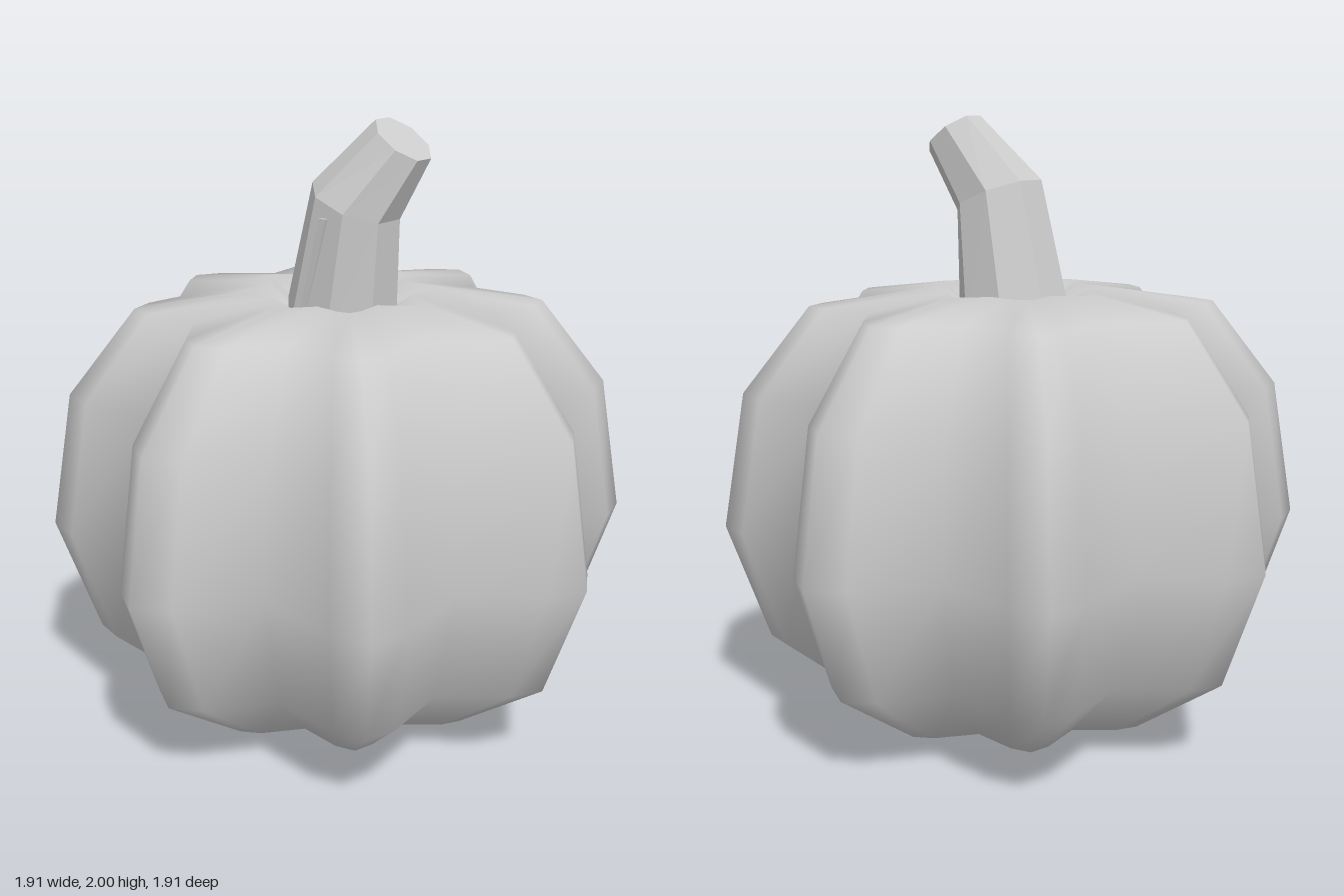
import * as THREE from 'three';

// Skin a stack of closed rings (bottom to top, counterclockwise from above) and cap both ends.
function loft(rings, bottom, top, flat) {
  const n = rings[0].length;
  const points = [...rings.flat(), bottom, top];
  const b = points.length - 2, t = points.length - 1, last = (rings.length - 1) * n;
  const index = [];
  for (let j = 0; j < n; j++) {
    const k = (j + 1) % n;
    for (let i = 0; i < last; i += n) {
      index.push(i + j, i + k, i + n + k, i + j, i + n + k, i + n + j);
    }
    index.push(k, j, b, last + j, last + k, t);
  }
  let geometry = new THREE.BufferGeometry();
  geometry.setAttribute('position', new THREE.Float32BufferAttribute(points.flat(), 3));
  geometry.setIndex(index);
  if (flat) geometry = geometry.toNonIndexed();
  geometry.computeVertexNormals();
  return geometry;
}

export function createModel() {
  const group = new THREE.Group();
  const grey = new THREE.MeshStandardMaterial({ color: 0xcccccc });
  grey.name = 'pale grey';

  const add = (name, geometry) => {
    const mesh = new THREE.Mesh(geometry, grey);
    mesh.name = name;
    group.add(mesh);
  };

  // Ribbed body: eight lobes, each with a crest, two shoulders and a valley
  const lobe = [[0, 1], [7.1, 0.94], [22.5, 0.77], [37.9, 0.94]];
  const profile = [
    [0.18, 0], [0.51, 0.07], [0.82, 0.295], [0.955, 0.68],
    [0.88, 1.125], [0.66, 1.405], [0.31, 1.455], [0.15, 1.37],
  ];
  const bodyRings = profile.map(([r, y]) => {
    const ring = [];
    for (let i = 0; i < 8; i++) {
      for (const [degrees, factor] of lobe) {
        const a = THREE.MathUtils.degToRad(i * 45 + degrees);
        ring.push([r * factor * Math.cos(a), y, -r * factor * Math.sin(a)]);
      }
    }
    return ring;
  });
  add('body', loft(bodyRings, [0, 0.03, 0], [0, 1.32, 0], false));

  // Bent faceted stem: centre, x radius, z radius, and drop of the ring towards +x
  const sections = [
    [[-0.01, 1.32, 0], 0.2, 0.17, 0],
    [[0.07, 1.75, 0.01], 0.142, 0.142, 0.055],
    [[0.21, 1.945, -0.045], 0.087, 0.09, 0.06],
  ];
  const stemRings = sections.map(([c, rx, rz, drop]) =>
    Array.from({ length: 8 }, (_, j) => {
      const a = (j + 0.5) * Math.PI / 4;
      return [c[0] + rx * Math.cos(a), c[1] - drop * Math.cos(a), c[2] - rz * Math.sin(a)];
    }));
  add('stem', loft(stemRings, sections[0][0], sections[2][0], true));

  // Narrow ridge running up the front of the stem
  const ridgeRings = [[-0.04, 1.36], [0.055, 1.71]].map(([x, y]) => [
    [x + 0.013, y, 0.12], [x - 0.013, y, 0.12],
    [x - 0.013, y, 0.155], [x + 0.013, y, 0.155],
  ]);
  add('stemRidge', loft(ridgeRings, [-0.04, 1.36, 0.137], [0.055, 1.71, 0.137], true));

  return group;
}
